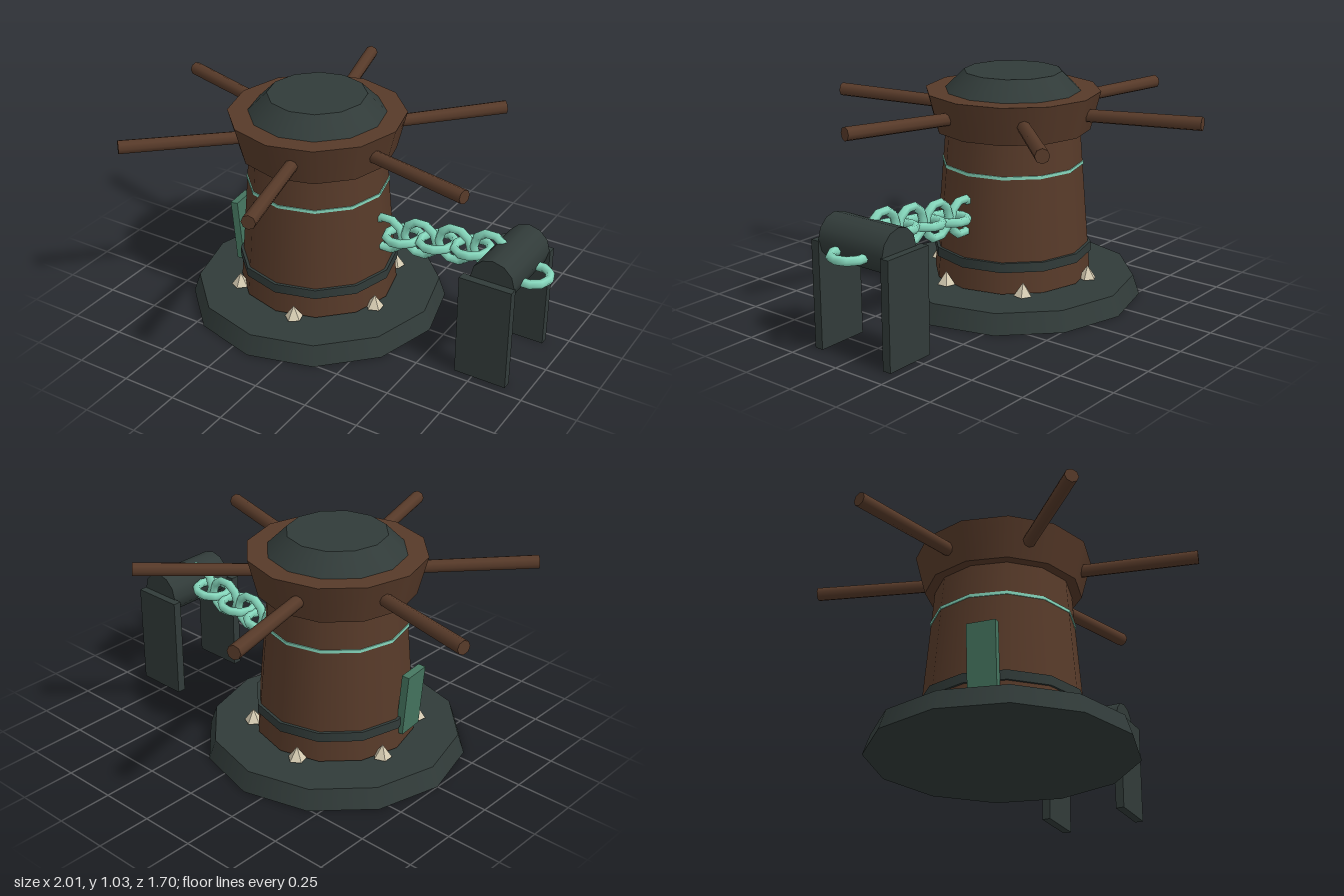
import * as THREE from 'three';

const paint = (name, color) => {
  const m = new THREE.MeshStandardMaterial({ color });
  m.name = name;
  return m;
};

export function createModel() {
  const wood = paint('dark wood', 0x573a29);
  const iron = paint('blackened iron', 0x313b39);
  const teal = paint('pale teal', 0x86d8bd);
  const moss = paint('deep green', 0x45755f);
  const bone = paint('bone', 0xd6ccb2);

  const model = new THREE.Group();
  model.name = 'capstan';
  const add = (parent, name, geometry, material, x = 0, y = 0, z = 0) => {
    const mesh = new THREE.Mesh(geometry, material);
    mesh.name = name;
    mesh.position.set(x, y, z);
    parent.add(mesh);
    return mesh;
  };

  // Twelve-sided drum, stacked from the base up
  const drum = new THREE.Group();
  drum.name = 'drum';
  drum.position.x = -0.16;
  model.add(drum);
  const ring = (name, rBottom, rTop, y0, y1, material) =>
    add(drum, name, new THREE.CylinderGeometry(rTop, rBottom, y1 - y0, 12), material, 0, (y0 + y1) / 2, 0);
  ring('basePlate', 0.59, 0.56, 0, 0.09, iron);
  ring('barrel', 0.36, 0.305, 0.1, 0.775, wood);
  ring('lowerBand', 0.362, 0.362, 0.2, 0.243, iron);
  ring('inlayBand', 0.322, 0.322, 0.61, 0.624, teal);
  ring('drumHead', 0.35, 0.395, 0.77, 0.945, wood);
  ring('cap', 0.305, 0.22, 0.945, 1.03, iron);

  // Six push bars and the spikes below them
  const barGeometry = new THREE.CylinderGeometry(0.031, 0.029, 0.57, 8);
  const spikeGeometry = new THREE.ConeGeometry(0.042, 0.06, 5).toNonIndexed();
  spikeGeometry.computeVertexNormals();
  for (let i = 0; i < 6; i++) {
    const spoke = new THREE.Group();
    spoke.name = 'spoke';
    spoke.rotation.y = -(Math.PI / 12 + i * Math.PI / 3);
    drum.add(spoke);
    add(spoke, 'pushBar', barGeometry, wood, 0.585, 0.86, 0).rotation.z = -Math.PI / 2 + 0.025;
    add(spoke, 'spike', spikeGeometry, bone, 0.37, 0.13, 0);
  }

  // Leaning plate on the drum's side
  const plate = add(model, 'sidePlate', new THREE.BoxGeometry(0.035, 0.29, 0.13), moss, -0.515, 0.305, 0.09);
  plate.rotation.set(0, 0.1, 0.08);

  // Chain of alternating links climbing to the roller
  const linkGeometry = new THREE.TorusGeometry(0.078, 0.02, 6, 10);
  for (let i = 0; i < 7; i++) {
    const x = 0.2 + i * 0.084;
    const link = add(model, 'chainLink', linkGeometry, teal, x, 0.436 + (x - 0.2) * 0.145, 0);
    if (i % 2) link.rotation.set(Math.PI / 2, 0.07, 0);
  }
  add(model, 'endLink', linkGeometry, teal, 0.9, 0.453, 0).rotation.x = Math.PI / 2;

  // Roller between two posts
  add(model, 'roller', new THREE.CylinderGeometry(0.1, 0.1, 0.35, 12), iron, 0.8, 0.477, 0).rotation.x = Math.PI / 2;
  for (const side of [-1, 1]) {
    add(model, 'rollerPost', new THREE.BoxGeometry(0.24, 0.475, 0.04), iron, 0.785, 0.2375, side * 0.19);
  }

  return model;
}
